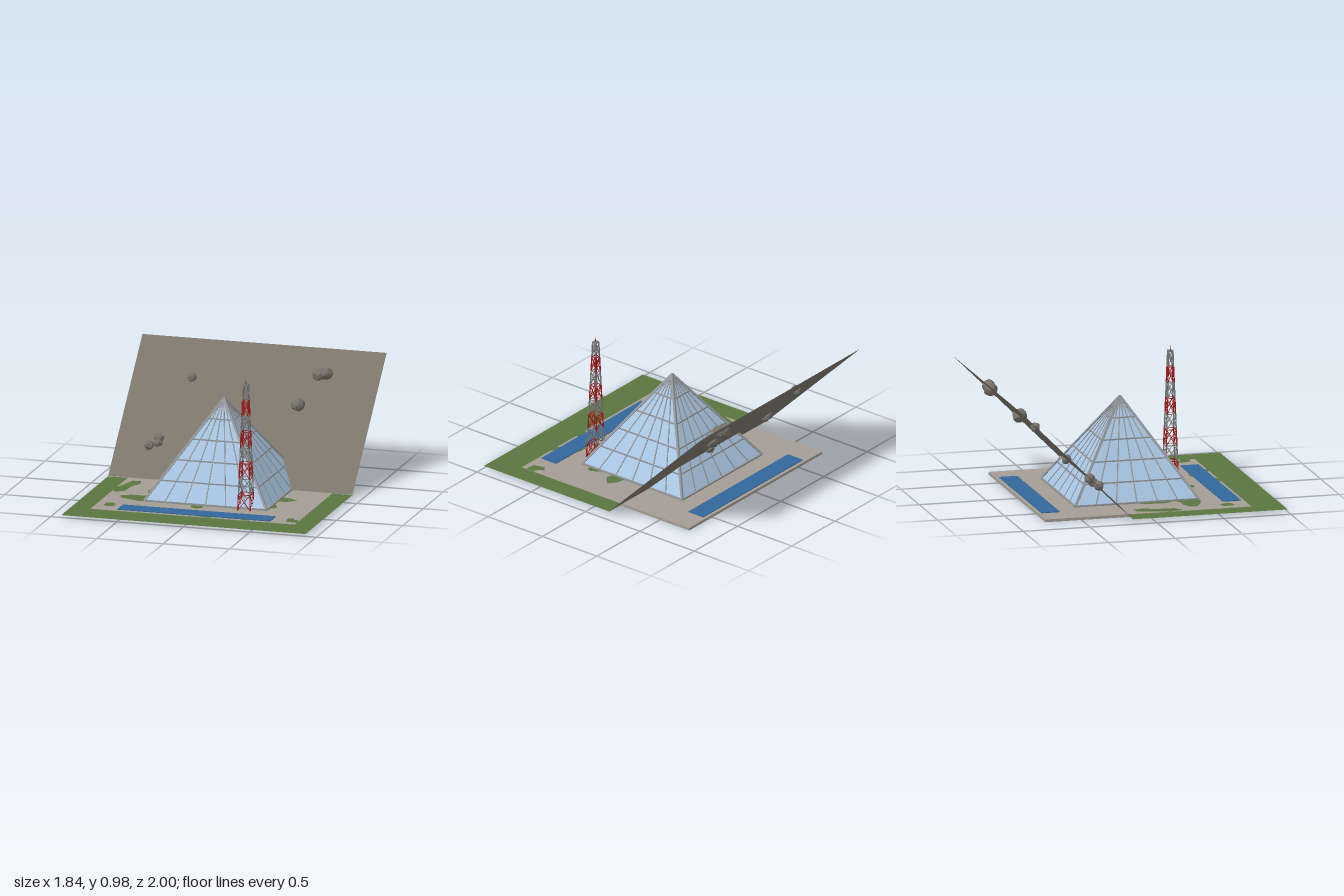
import * as THREE from 'three';
import { mergeGeometries } from 'three/addons/utils/BufferGeometryUtils.js';

const mat = (name, color, extra = {}) => {
  const m = new THREE.MeshStandardMaterial({ color, ...extra });
  m.name = name;
  return m;
};
const V = (x, y, z) => new THREE.Vector3(x, y, z);

// square bar between two points
function bar(a, b, w) {
  const d = b.clone().sub(a);
  const g = new THREE.BoxGeometry(w, d.length(), w);
  g.applyQuaternion(new THREE.Quaternion().setFromUnitVectors(V(0, 1, 0), d.normalize()));
  const c = a.clone().add(b).multiplyScalar(0.5);
  return g.translate(c.x, c.y, c.z);
}

// lumpy boulder: every corner is pushed in or out by a rule of its direction
function boulder(r, seed) {
  const g = new THREE.IcosahedronGeometry(r, 1);
  const p = g.attributes.position;
  for (let i = 0; i < p.count; i++) {
    const v = V().fromBufferAttribute(p, i);
    const n = v.clone().normalize();
    const k = 1 + 0.13 * Math.sin(n.x * 4.1 + seed * 2.3) * Math.cos(n.y * 3.7 + n.z * 2.9 + seed);
    p.setXYZ(i, v.x * k, v.y * k, v.z * k);
  }
  g.computeVertexNormals();
  return g;
}

export function createModel() {
  const model = new THREE.Group();
  const paving = mat('paving', 0xa39d94);
  const grass = mat('grass', 0x59763e, { side: THREE.DoubleSide });
  const hill = mat('hillside', 0x7d776b, { side: THREE.DoubleSide });
  const stone = mat('stone', 0x77716a, { flatShading: true });
  const glass = mat('glass', 0xa8c5e2, { flatShading: true });
  const frame = mat('frame', 0x94979a);
  const water = mat('water', 0x32689c);
  const red = mat('red paint', 0xa31f1c);
  const steel = mat('steel', 0x7c7c7c);

  const add = (name, geo, material, x = 0, y = 0, z = 0, parent = model) => {
    const m = new THREE.Mesh(geo, material);
    m.name = name;
    m.position.set(x, y, z);
    parent.add(m);
    return m;
  };

  // ground
  add('plaza', new THREE.BoxGeometry(1.54, 0.02, 1.54), paving, 0, 0.01, 0);
  add('lawn', new THREE.PlaneGeometry(1.84, 1.155).rotateX(-Math.PI / 2), grass, 0, 0.0175, 0.4225);
  for (const s of [1, -1])
    add('pool', new THREE.BoxGeometry(1.15, 0.009, 0.135), water, 0, 0.0215, s * 0.677);

  // grass patches on the plaza, outlines as x, z pairs
  const patches = [
    [[-.71, -.07], [-.65, -.08], [-.63, 0], [-.67, .08], [-.68, .22], [-.75, .27], [-.77, .2], [-.77, .13], [-.74, .05]],
    [[-.49, .02], [-.46, 0], [-.42, .1], [-.43, .27], [-.5, .24], [-.52, .17]],
    [[-.67, .35], [-.6, .31], [-.51, .31], [-.48, .28], [-.45, .4], [-.48, .47], [-.58, .44], [-.66, .4]],
    [[-.71, .58], [-.66, .56], [-.63, .6], [-.63, .65], [-.68, .67], [-.71, .64]],
    [[-.1, .48], [-.02, .47], [0, .51], [-.04, .55], [-.09, .53]],
    [[.42, .06], [.53, .08], [.59, .13], [.52, .19], [.42, .18]],
    [[.42, .26], [.47, .28], [.51, .34], [.5, .38], [.42, .4]],
    [[.25, .59], [.33, .6], [.33, .62], [.23, .62]],
    [[.67, .64], [.71, .61], [.73, .65], [.77, .66], [.77, .73], [.69, .72]],
    [[.03, .77], [.07, .74], [.14, .74], [.14, .77]],
    [[.34, .74], [.42, .74], [.43, .77], [.37, .77]],
  ];
  const shapes = patches.map(p => new THREE.Shape(p.map(([x, z]) => new THREE.Vector2(x, -z))));
  add('grassPatches', new THREE.ShapeGeometry(shapes).rotateX(-Math.PI / 2), grass, 0, 0.0215, 0);

  // sloping hillside
  const run = 0.845;
  const slope = new THREE.PlaneGeometry(1.84, run * Math.SQRT2).rotateX(-Math.PI / 4);
  add('hillside', slope, hill, 0, 0.02 + run / 2, -0.155 - run / 2);

  // boulders: x, y, z, radius
  [
    [-.475, .635, -.765, .036], [.46, .71, -.84, .052], [.515, .72, -.84, .047], [.36, .525, -.65, .053],
    [-.67, .22, -.345, .036], [-.61, .265, -.395, .039], [-.61, .235, -.37, .034], [.05, .255, -.385, .036],
  ].forEach(([x, y, z, r], i) => add('boulder', boulder(r, i + 1), stone, x, y, z));

  // glass pyramid
  const half = 0.46, base = 0.025, top = 0.71;
  const pyramid = new THREE.Group();
  pyramid.name = 'pyramid';
  model.add(pyramid);
  const cone = new THREE.ConeGeometry(half * Math.SQRT2, top - base, 4, 1).rotateY(Math.PI / 4);
  add('glazing', cone, glass, 0, (top + base) / 2, 0, pyramid);

  const apex = V(0, top, 0);
  const bars = [];
  for (let side = 0; side < 4; side++) {
    const face = [bar(V(half, base, half), apex, 0.017)];
    for (let i = -2; i <= 2; i++) face.push(bar(V(i * half / 3, base, half), apex, 0.008));
    for (let i = 0; i < 5; i++) {
      const t = i * 0.2, h = half * (1 - t), y = base + t * (top - base);
      face.push(bar(V(-h, y, h), V(h, y, h), i ? 0.009 : 0.014));
    }
    bars.push(...face.map(g => g.rotateY(side * Math.PI / 2)));
  }
  add('glazingBars', mergeGeometries(bars), frame, 0, 0, 0, pyramid);

  // lattice mast with alternating red and steel sections
  const mast = new THREE.Group();
  mast.name = 'mast';
  mast.position.set(0.305, 0, 0.46);
  model.add(mast);
  const sections = 8, y0 = 0.02, y1 = 0.945;
  for (let s = 0; s < sections; s++) {
    const level = k => {
      const t = k / sections;
      return [y0 + t * (y1 - y0), 0.047 - 0.031 * t];
    };
    const [ya, a] = level(s), [yb, b] = level(s + 1);
    const parts = [];
    for (let side = 0; side < 4; side++) {
      const set = [
        bar(V(a, ya, a), V(b, yb, b), 0.007),
        bar(V(-a, ya, a), V(b, yb, b), 0.004),
        bar(V(a, ya, a), V(-b, yb, b), 0.004),
        bar(V(-b, yb, b), V(b, yb, b), 0.005),
      ];
      parts.push(...set.map(g => g.rotateY(side * Math.PI / 2)));
    }
    add('mastSection', mergeGeometries(parts), s % 2 ? steel : red, 0, 0, 0, mast);
  }
  add('mastCap', new THREE.BoxGeometry(0.036, 0.008, 0.036), steel, 0, 0.947, 0, mast);
  add('antenna', new THREE.CylinderGeometry(0.002, 0.004, 0.033, 8), red, 0, 0.966, 0, mast);

  return model;
}
